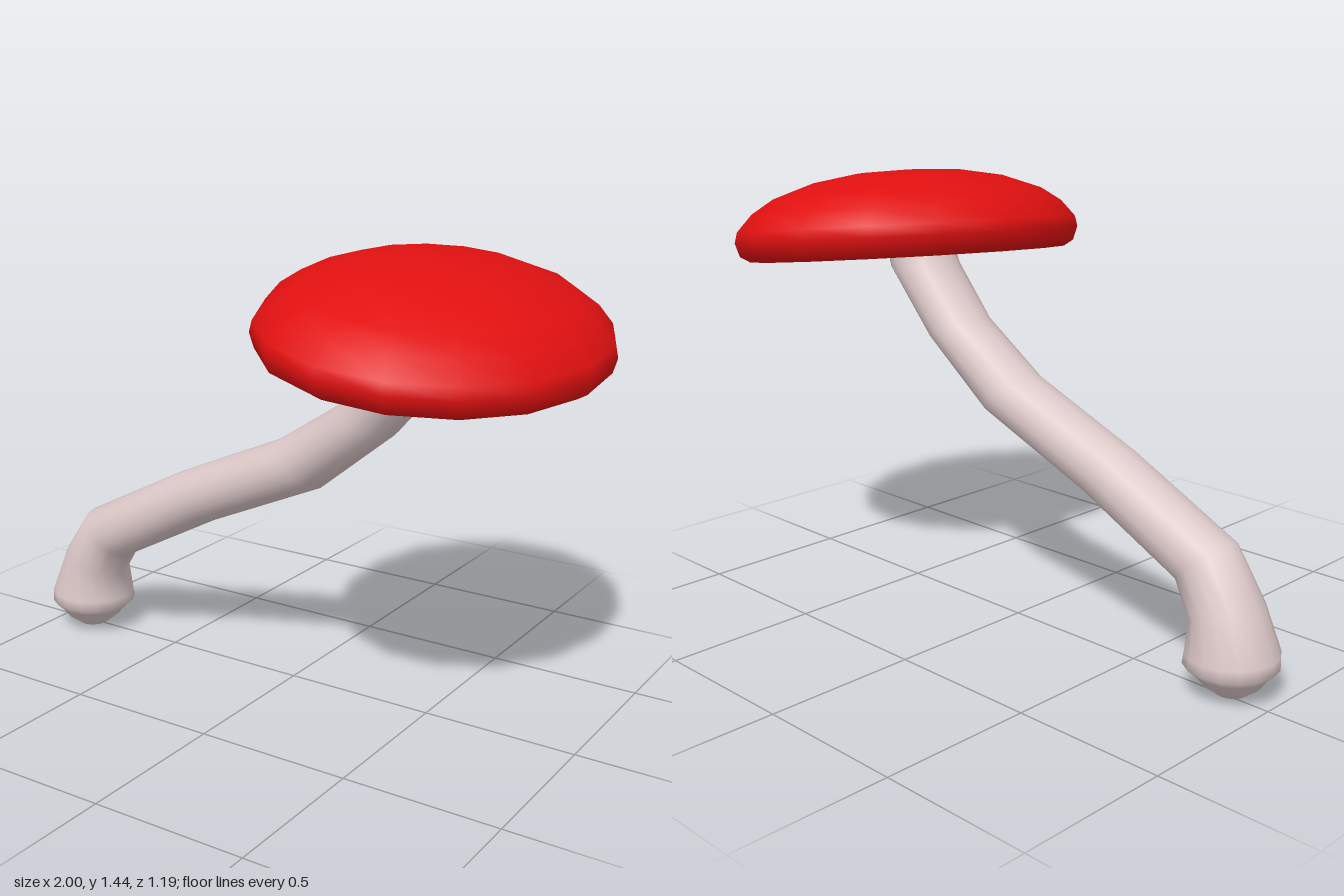
import * as THREE from 'three';
import { mergeVertices } from 'three/addons/utils/BufferGeometryUtils.js';

const SIDES = 16;

// Smooth skin over closed rings listed from bottom to top; point(ring, cos, sin) gives [x, y, z].
function loft(rings, point) {
  const positions = [], index = [];
  rings.forEach((ring, i) => {
    for (let j = 0; j < SIDES; j++) {
      const t = (j / SIDES) * Math.PI * 2;
      positions.push(...point(ring, Math.cos(t), Math.sin(t)));
      if (i === rings.length - 1) continue;
      const a = i * SIDES + j, b = i * SIDES + ((j + 1) % SIDES);
      index.push(a, b, a + SIDES, b, b + SIDES, a + SIDES);
    }
  });
  const raw = new THREE.BufferGeometry();
  raw.setAttribute('position', new THREE.Float32BufferAttribute(positions, 3));
  raw.setIndex(index);
  const geometry = mergeVertices(raw, 1e-5);
  geometry.computeVertexNormals();
  return geometry;
}

function part(name, geometry, color) {
  const mesh = new THREE.Mesh(geometry, new THREE.MeshStandardMaterial({ color }));
  mesh.name = name;
  return mesh;
}

// Bent stem with a bulbous foot: left x, left y, right x, right y, centre z, half depth
function makeStem() {
  const rings = [
    [-0.86, 0, -0.86, 0, 0.015, 0],
    [-0.91, 0.01, -0.81, 0.01, 0.015, 0.05],
    [-0.95, 0.04, -0.77, 0.04, 0.015, 0.09],
    [-0.975, 0.075, -0.74, 0.075, 0.015, 0.118],
    [-1, 0.1, -0.71, 0.1, 0.015, 0.145],
    [-1, 0.14, -0.715, 0.13, 0.015, 0.143],
    [-0.94, 0.29, -0.725, 0.22, 0.015, 0.118],
    [-0.82, 0.45, -0.66, 0.31, 0.033, 0.106],
    [-0.43, 0.65, -0.3, 0.5, 0.025, 0.104],
    [-0.04, 0.82, 0.11, 0.68, 0.013, 0.105],
    [0.19, 0.97, 0.37, 0.89, 0.012, 0.108],
    [0.33, 1.13, 0.56, 1.11, 0.012, 0.113],
    [0.36, 1.2, 0.58, 1.18, 0.012, 0.113],
  ];
  return loft(rings, ([ax, ay, bx, by, z, depth], c, s) => [
    (ax + bx) / 2 + (c * (bx - ax)) / 2,
    (ay + by) / 2 + (c * (by - ay)) / 2,
    z - s * depth,
  ]);
}

// Tilted oval cap: relative radius and height above the rim plane
function makeCap() {
  const rings = [
    [0, -0.06], [0.84, -0.06], [0.92, -0.064], [0.975, -0.045], [1, 0], [0.985, 0.035],
    [0.9, 0.09], [0.78, 0.135], [0.55, 0.182], [0.3, 0.207], [0, 0.215],
  ];
  return loft(rings, ([r, h], c, s) => {
    const x = r * (0.5 * c + 0.055 * s);
    const z = r * (0.04 * c - 0.597 * s);
    return [0.498 + x, 1.215 - 0.13 * x - 0.062 * z + h, z - 0.003];
  });
}

export function createModel() {
  const model = new THREE.Group();
  model.name = 'mushroom';
  model.add(part('stem', makeStem(), 0xdcc8c8), part('cap', makeCap(), 0xe01010));
  return model;
}
